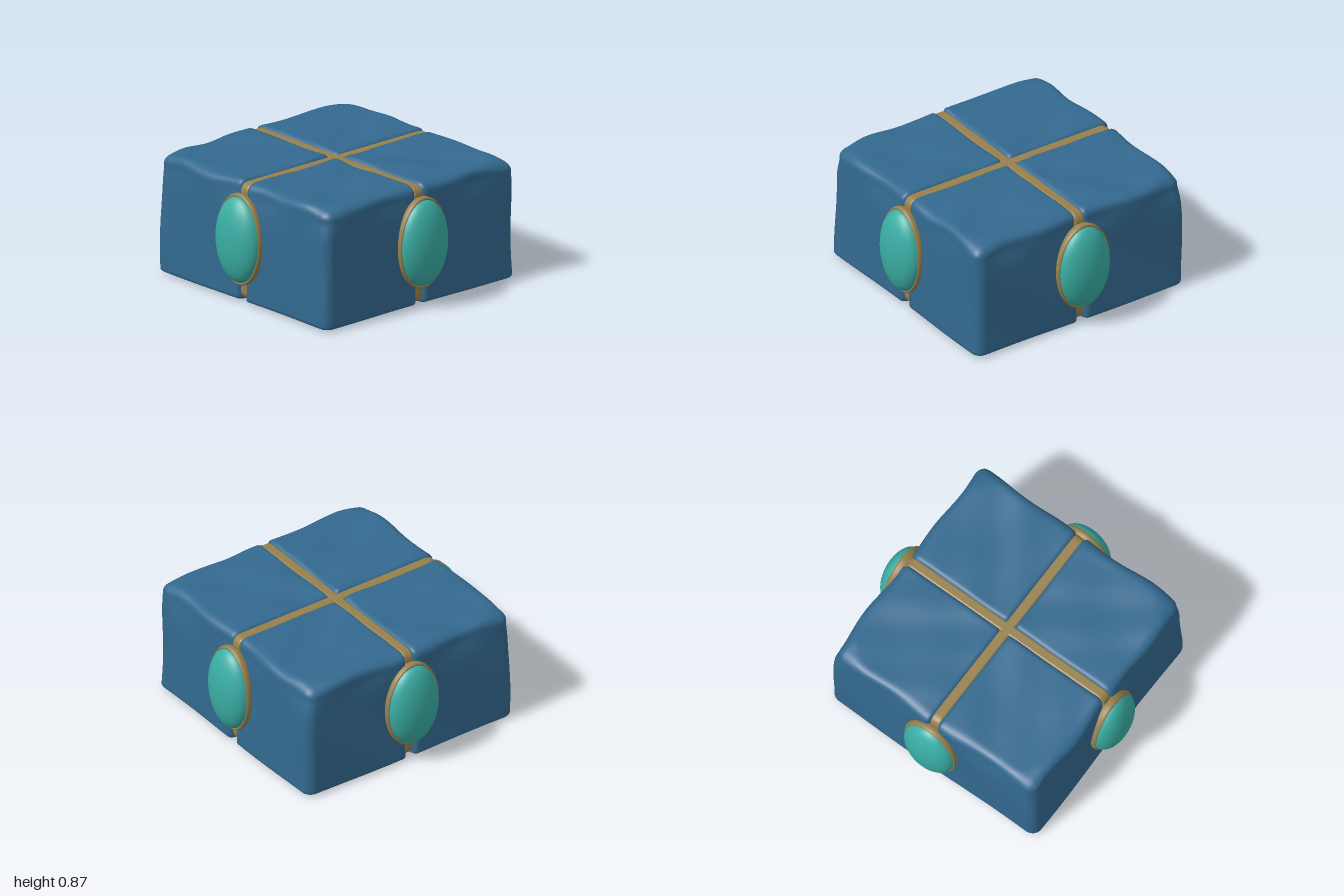
import * as THREE from 'three';
import { mergeVertices } from 'three/addons/utils/BufferGeometryUtils.js';

const stone = new THREE.MeshStandardMaterial({ color: 0x33698f });
const gold = new THREE.MeshStandardMaterial({ color: 0x97804d });
const gemMat = new THREE.MeshStandardMaterial({ color: 0x3aaea4 });

// Bounds of one block and the rounding at each low and high side
const LO = [0.025, 0.008, 0.025], HI = [0.87, 0.872, 0.87];
const R_LO = [0.035, 0.03, 0.035], R_HI = [0.075, 0.06, 0.075];

// Worn stone block in the +x +z quarter; phase varies its dents
function blockGeometry(phase) {
  const n = 36;
  let geo = new THREE.BoxGeometry(2, 2, 2, n, n, n);
  geo.deleteAttribute('uv');
  geo.deleteAttribute('normal');
  geo = mergeVertices(geo, 1e-4);
  const pos = geo.attributes.position;
  for (let i = 0; i < pos.count; i++) {
    const p = [], u = [0, 0, 0], q = [], r = [0, 0, 0];
    // Rounded edges, with the grid denser toward the sides
    for (let a = 0; a < 3; a++) {
      const t = 0.5 + 0.5 * Math.sin(pos.getComponent(i, a) * Math.PI / 2);
      p[a] = THREE.MathUtils.lerp(LO[a], HI[a], t);
      q[a] = THREE.MathUtils.clamp(p[a], LO[a] + R_LO[a], HI[a] - R_HI[a]);
      r[a] = p[a] < q[a] ? R_LO[a] : R_HI[a];
      u[a] = (p[a] - q[a]) / r[a];
    }
    const len = Math.hypot(...u) || 1;
    const k = Math.max(...u.map(Math.abs)) / len;
    let [x, y, z] = q.map((v, a) => v + u[a] * k * r[a]);

    // Shallow dents on the top and soft waves on the outer walls
    const wave = Math.sin(9 * x + 2.1 * phase) * Math.sin(8 * z + 1.3 * phase)
      + 0.5 * Math.sin(17 * x - 11 * z + phase);
    const bowl = Math.exp(-((x - 0.45) ** 2 + (z - 0.45) ** 2) / 0.05);
    const top = THREE.MathUtils.smoothstep(y, 0.7, 0.87);
    const corner = THREE.MathUtils.smoothstep(x + z, 1.45, 1.75);
    const dy = top * (0.006 * wave - 0.006 - 0.012 * bowl - 0.03 * corner);
    const wall = 0.005 * Math.sin(7 * y + 5 * (x - z) + phase) - 0.004;
    const chip = 0.02 * Math.exp(-((y - 0.8) ** 2) / 0.01)
      * (0.5 + 0.5 * Math.sin(10 * (x - z) + 2 * phase));
    const outX = THREE.MathUtils.smoothstep(x, 0.6, 0.87);
    const outZ = THREE.MathUtils.smoothstep(z, 0.6, 0.87);
    x += outX * (wall - chip - 0.01 * y);
    z += outZ * (wall - chip - 0.01 * y);
    pos.setXYZ(i, x, y + dy, z);
  }
  geo.computeVertexNormals();
  return geo;
}

// Rounded rectangle traced into a shape or hole
function roundedRect(path, x, y0, y1, r) {
  path.moveTo(-x + r, y0);
  path.lineTo(x - r, y0);
  path.quadraticCurveTo(x, y0, x, y0 + r);
  path.lineTo(x, y1 - r);
  path.quadraticCurveTo(x, y1, x - r, y1);
  path.lineTo(-x + r, y1);
  path.quadraticCurveTo(-x, y1, -x, y1 - r);
  path.lineTo(-x, y0 + r);
  path.quadraticCurveTo(-x, y0, -x + r, y0);
  return path;
}

// Flat metal band that runs all round the cube inside a seam
function bandGeometry() {
  const shape = roundedRect(new THREE.Shape(), 0.83, 0.03, 0.842, 0.06);
  shape.holes.push(roundedRect(new THREE.Path(), 0.76, 0.1, 0.77, 0.03));
  const geo = new THREE.ExtrudeGeometry(shape, {
    depth: 0.05, bevelEnabled: true, bevelThickness: 0.012, bevelSize: 0.012,
    bevelSegments: 2, curveSegments: 8,
  });
  return geo.translate(0, 0, -0.025);
}

// Oval solid from a radius/height profile, its axis turned to +z
function ovalGeometry(points) {
  const profile = points.map(([r, h]) => new THREE.Vector2(r, h));
  const geo = new THREE.LatheGeometry(profile, 64);
  geo.rotateX(Math.PI / 2);
  return geo.scale(0.215, 0.327, 1);
}

function add(parent, name, geometry, material) {
  const mesh = new THREE.Mesh(geometry, material);
  mesh.name = name;
  parent.add(mesh);
  return mesh;
}

export function createModel() {
  const model = new THREE.Group();
  model.name = 'jewelledStoneCube';

  // Gem dome and the rounded bezel that holds it
  const dome = [];
  for (let i = 0; i <= 20; i++) {
    const a = (i / 20) * Math.PI / 2;
    dome.push([0.94 * Math.cos(a), 0.885 + 0.115 * Math.sin(a)]);
  }
  dome[20][0] = 0;
  const gemGeo = ovalGeometry(dome);
  const bezelGeo = ovalGeometry([
    [0, 0.8], [0.9, 0.8], [0.97, 0.84], [1, 0.865], [1, 0.88],
    [0.985, 0.893], [0.96, 0.898], [0.93, 0.893], [0.91, 0.88], [0, 0.88],
  ]);

  // Four quarters, each with a block and a gem on one side
  for (let i = 0; i < 4; i++) {
    const quarter = new THREE.Group();
    quarter.name = 'quarter' + (i + 1);
    quarter.rotation.y = i * Math.PI / 2;
    add(quarter, 'stoneBlock', blockGeometry(1 + i * 1.7), stone);
    const setting = new THREE.Group();
    setting.name = 'gemSetting';
    setting.position.y = 0.465;
    add(setting, 'gem', gemGeo, gemMat);
    add(setting, 'bezel', bezelGeo, gold);
    quarter.add(setting);
    model.add(quarter);
  }

  // Two crossing bands in the seams
  const band = bandGeometry();
  add(model, 'seamBandAcross', band, gold);
  add(model, 'seamBandDeep', band, gold).rotation.y = Math.PI / 2;
  return model;
}
